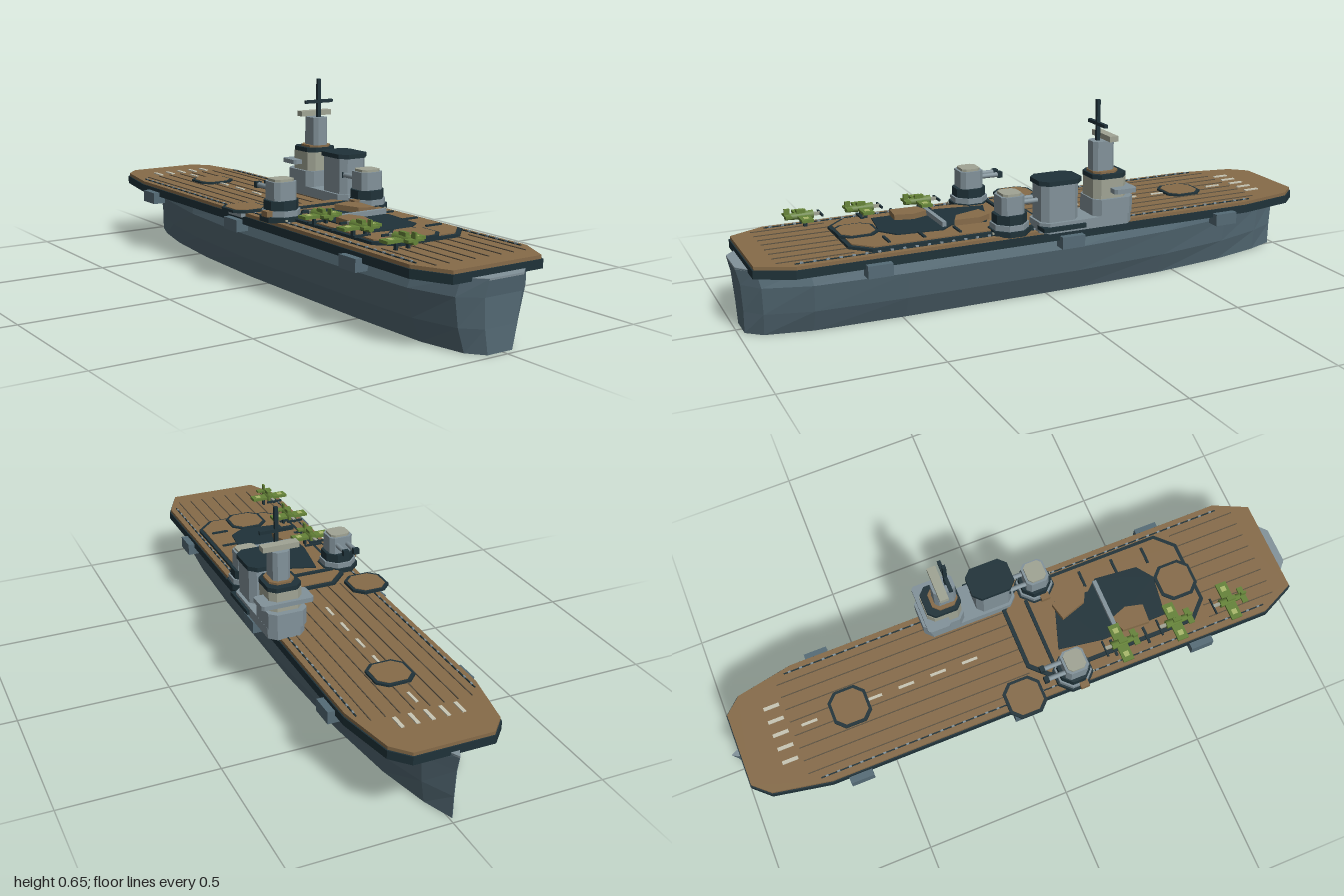
import * as THREE from 'three';

const CX = -0.009; // hull centreline

const mat = (name, color, extra = {}) => {
  const m = new THREE.MeshStandardMaterial({ color, ...extra });
  m.name = name;
  return m;
};

export function createModel() {
  const M = {
    hull: mat('hullGrey', 0x556b76, { side: THREE.DoubleSide }),
    grey: mat('structureGrey', 0x82929a),
    dark: mat('darkSlate', 0x1f3239),
    wood: mat('deckWood', 0x866b49),
    seam: mat('seamBrown', 0x5c5241),
    pale: mat('paleGrey', 0xa0a494),
    white: mat('deckMarking', 0xc8c6b4),
    green: mat('planeGreen', 0x658338),
    lime: mat('planeTips', 0xa9b86a),
  };
  const ship = new THREE.Group();
  ship.name = 'ship';

  const add = (name, geo, m, parent = ship) => {
    const mesh = new THREE.Mesh(geo, m);
    mesh.name = name;
    parent.add(mesh);
    return mesh;
  };
  const group = (name, x = 0, y = 0, z = 0) => {
    const g = new THREE.Group();
    g.name = name;
    g.position.set(x, y, z);
    ship.add(g);
    return g;
  };
  const box = (name, x, y, z, w, h, d, m, parent) => {
    const b = add(name, new THREE.BoxGeometry(w, h, d), m, parent);
    b.position.set(x, y, z);
    return b;
  };
  // Horizontal plate from [x, z] outline points, between heights y0 and y1
  const slab = (name, pts, y0, y1, m, parent) => {
    const shape = new THREE.Shape(pts.map(([x, z]) => new THREE.Vector2(x, -z)));
    const geo = new THREE.ExtrudeGeometry(shape, { depth: y1 - y0, bevelEnabled: false });
    geo.rotateX(-Math.PI / 2).translate(0, y0, 0);
    return add(name, geo, m, parent);
  };
  // Rectangle with cut corners
  const oct = (x, z, w, d, c) => {
    const a = w / 2, b = d / 2;
    return [[a - c, -b], [a, -b + c], [a, b - c], [a - c, b], [c - a, b], [-a, b - c], [-a, c - b], [c - a, -b]]
      .map(([px, pz]) => [x + px, z + pz]);
  };
  const mirror = (half) => [...half, ...half.slice().reverse().map(([x, z]) => [-x, z])];

  // Hull: stacked plan rings, pointed bow at -z, rounded stern, open keel
  const side = [[0.005, -1], [0.3, -0.9], [0.62, -0.72], [0.87, -0.45], [1, -0.1],
    [1, 0.5], [0.93, 0.8], [0.69, 0.95], [0.36, 1]];
  const plan = mirror(side);
  const rows = [[0, 0.125, 0.98], [0.075, 0.162, 0.982], [0.165, 0.186, 0.988], [0.218, 0.172, 1]];
  const pos = [], idx = [], n = plan.length;
  rows.forEach(([y, w, s]) => plan.forEach(([x, z]) => pos.push(CX + x * w, y, z * s)));
  for (let r = 0; r < rows.length - 1; r++) {
    for (let i = 0; i < n; i++) {
      const a = r * n + i, b = r * n + (i + 1) % n;
      idx.push(a, a + n, b, b, a + n, b + n);
    }
  }
  const hullGeo = new THREE.BufferGeometry();
  hullGeo.setAttribute('position', new THREE.Float32BufferAttribute(pos, 3));
  hullGeo.setIndex(idx);
  const flatHull = hullGeo.toNonIndexed();
  flatHull.computeVertexNormals();
  add('hull', flatHull, M.hull);
  slab('hullTop', plan.map(([x, z]) => [CX + x * 0.171, z]), 0.214, 0.22, M.grey);
  slab('hullCeiling', plan.map(([x, z]) => [CX + x * 0.168, z * 0.97]), 0.205, 0.213, M.seam);

  // Flight deck with dark rim
  const deckSide = [[0.127, -0.97], [0.177, -0.915], [0.214, -0.72], [0.214, 0.85], [0.16, 0.965]];
  const deck = (k) => mirror(deckSide).map(([x, z]) => [CX + x * k, z * (1 - (1 - k) * 0.2)]);
  slab('deckRim', deck(1.02), 0.21, 0.237, M.dark);
  slab('flightDeck', deck(1), 0.237, 0.248, M.wood);
  for (const s of [-1, 1]) {
    box('deckEdgeRail', CX + s * 0.192, 0.249, 0.05, 0.004, 0.004, 1.6, M.dark);
    for (let i = 0; i < 40; i++) box('railStud', CX + s * 0.192, 0.251, -0.73 + i * 0.04, 0.005, 0.005, 0.01, M.grey);
    for (const z of [0.603, -0.045, -0.627]) box('sideSponson', CX + s * 0.219, 0.205, z, 0.044, 0.04, 0.08, M.hull);
    for (let k = 0; k < 4; k++) {
      box('deckPlankSeam', CX + s * (0.025 + k * 0.046), 0.2485, -0.385, 0.003, 0.004, 0.8, M.seam);
      box('deckPlankSeam', CX + s * (0.025 + k * 0.046), 0.2485, 0.78, 0.003, 0.004, 0.24, M.seam);
    }
  }

  // Painted markings
  for (let i = 0; i < 6; i++) box('centreDash', CX, 0.249, -0.725 + i * 0.114, 0.009, 0.005, 0.055, M.white);
  for (let i = -2; i <= 2; i++) box('bowMark', CX + i * 0.049, 0.249, -0.825, 0.012, 0.005, 0.054, M.white);

  // Lifts: wood octagons with a dark rim
  const lift = (x, z, y) => {
    slab('liftRim', oct(x, z, 0.132, 0.132, 0.03), y, y + 0.009, M.dark);
    slab('liftPlate', oct(x, z, 0.112, 0.112, 0.026), y + 0.009, y + 0.011, M.wood);
  };
  lift(CX, -0.583, 0.246);
  lift(-0.201, -0.033, 0.252);
  box('edgeLiftSupport', -0.2, 0.245, -0.033, 0.08, 0.02, 0.08, M.grey);

  // Raised aft deck
  slab('aftDeckRim', oct(0.004, 0.34, 0.34, 0.654, 0.06), 0.246, 0.257, M.dark);
  slab('aftDeck', oct(0.004, 0.34, 0.314, 0.628, 0.054), 0.257, 0.261, M.wood);
  lift(CX, 0.605, 0.257);
  slab('darkPatch', [[-0.09, 0.135], [0.075, 0.19], [0.065, 0.31], [0.1, 0.35], [0.085, 0.5],
    [0.03, 0.54], [-0.11, 0.52], [-0.115, 0.29]], 0.26, 0.265, M.dark);
  slab('brokenPlate', [[0.0, 0.19], [0.06, 0.175], [0.085, 0.22], [0.08, 0.305], [0.03, 0.28]], 0.264, 0.283, M.wood);
  slab('brokenPlate', [[-0.115, 0.36], [-0.06, 0.345], [-0.04, 0.4], [-0.055, 0.46], [-0.12, 0.455]], 0.264, 0.283, M.wood);
  box('crossBeam', -0.002, 0.276, 0.342, 0.178, 0.016, 0.014, M.grey);
  box('forwardCurb', -0.01, 0.264, 0.1, 0.25, 0.008, 0.012, M.dark);
  for (const z of [0.31, 0.43, 0.545]) {
    box('arresterBar', 0.115, 0.263, z, 0.06, 0.006, 0.009, M.dark);
    box('arresterBar', -0.155, 0.263, z, 0.06, 0.006, 0.009, M.dark);
  }

  // Twin gun turrets, barrels toward the bow
  for (const x of [-0.178, 0.16]) {
    const g = group('gunTurret', x, 0, 0.15);
    slab('turretPlatform', oct(0, 0, 0.128, 0.128, 0.038), 0.246, 0.264, M.dark, g);
    box('lookoutPost', -0.06, 0.274, 0.015, 0.024, 0.018, 0.03, M.wood, g);
    box('platformLamp', Math.sign(x) * 0.023, 0.255, 0.066, 0.008, 0.006, 0.006, M.pale, g);
    slab('turretFoot', oct(0, 0, 0.116, 0.116, 0.034), 0.262, 0.282, M.grey, g);
    slab('turretRing', oct(0, 0, 0.104, 0.104, 0.03), 0.282, 0.312, M.dark, g);
    slab('turretHouse', oct(0, 0, 0.084, 0.08, 0.014), 0.312, 0.371, M.grey, g);
    slab('turretRoof', oct(0, 0, 0.07, 0.064, 0.012), 0.371, 0.379, M.pale, g);
    for (const b of [-1, 1]) {
      const geo = new THREE.CylinderGeometry(0.008, 0.009, 0.08, 8).rotateX(Math.PI / 2);
      add('gunBarrel', geo, M.grey, g).position.set(b * 0.019, 0.345, -0.07);
      box('barrelMuzzle', b * 0.019, 0.345, -0.106, 0.02, 0.02, 0.016, M.dark, g);
    }
  }

  // Island: base, funnel, tower, mast
  const isl = group('island');
  slab('islandBase', oct(0.178, -0.095, 0.125, 0.33, 0.025), 0.246, 0.28, M.grey, isl);
  box('islandGallery', 0.225, 0.262, -0.005, 0.05, 0.014, 0.15, M.dark, isl);
  slab('funnel', oct(0.177, -0.003, 0.104, 0.13, 0.02), 0.28, 0.4, M.grey, isl);
  slab('funnelCap', oct(0.177, -0.005, 0.116, 0.15, 0.025), 0.4, 0.415, M.dark, isl);
  slab('towerLower', oct(0.175, -0.19, 0.13, 0.145, 0.022), 0.28, 0.335, M.grey, isl);
  slab('towerMiddle', oct(0.175, -0.182, 0.11, 0.12, 0.02), 0.335, 0.4, M.pale, isl);
  slab('bridgeWing', oct(0.177, -0.215, 0.176, 0.08, 0.008), 0.355, 0.37, M.grey, isl);
  slab('bridgeBand', oct(0.176, -0.18, 0.113, 0.12, 0.022), 0.4, 0.415, M.dark, isl);
  slab('bridgeRoof', oct(0.176, -0.172, 0.085, 0.09, 0.02), 0.415, 0.422, M.wood, isl);
  slab('towerUpper', oct(0.175, -0.168, 0.058, 0.075, 0.012), 0.422, 0.518, M.grey, isl);
  box('rangefinder', 0.176, 0.531, -0.182, 0.122, 0.018, 0.03, M.pale, isl);
  box('mast', 0.176, 0.583, -0.155, 0.012, 0.136, 0.012, M.dark, isl);
  box('mastYard', 0.176, 0.573, -0.155, 0.112, 0.011, 0.012, M.dark, isl);

  // Parked planes, noses toward the bow
  for (const z of [0.34, 0.54, 0.74]) {
    const g = group('plane', -0.155, 0.29, z);
    const body = new THREE.CylinderGeometry(0.015, 0.01, 0.092, 6).rotateX(-Math.PI / 2);
    add('fuselage', body, M.green, g).position.z = 0.006;
    box('wing', 0, -0.002, -0.006, 0.136, 0.009, 0.038, M.green, g);
    box('tailplane', 0, 0.004, 0.044, 0.056, 0.007, 0.02, M.green, g);
    box('tailFin', 0, 0.014, 0.045, 0.007, 0.026, 0.018, M.green, g);
    box('canopy', 0, 0.014, 0, 0.014, 0.012, 0.03, M.green, g);
    box('noseCone', 0, 0, -0.05, 0.01, 0.01, 0.026, M.pale, g);
    box('propeller', 0, 0, -0.064, 0.058, 0.007, 0.006, M.dark, g);
    for (const s of [-1, 1]) {
      box('wingMark', s * 0.044, 0.001, -0.006, 0.018, 0.006, 0.018, M.lime, g);
      box('wheelLeg', s * 0.022, -0.018, -0.008, 0.008, 0.026, 0.012, M.dark, g);
    }
  }
  return ship;
}
